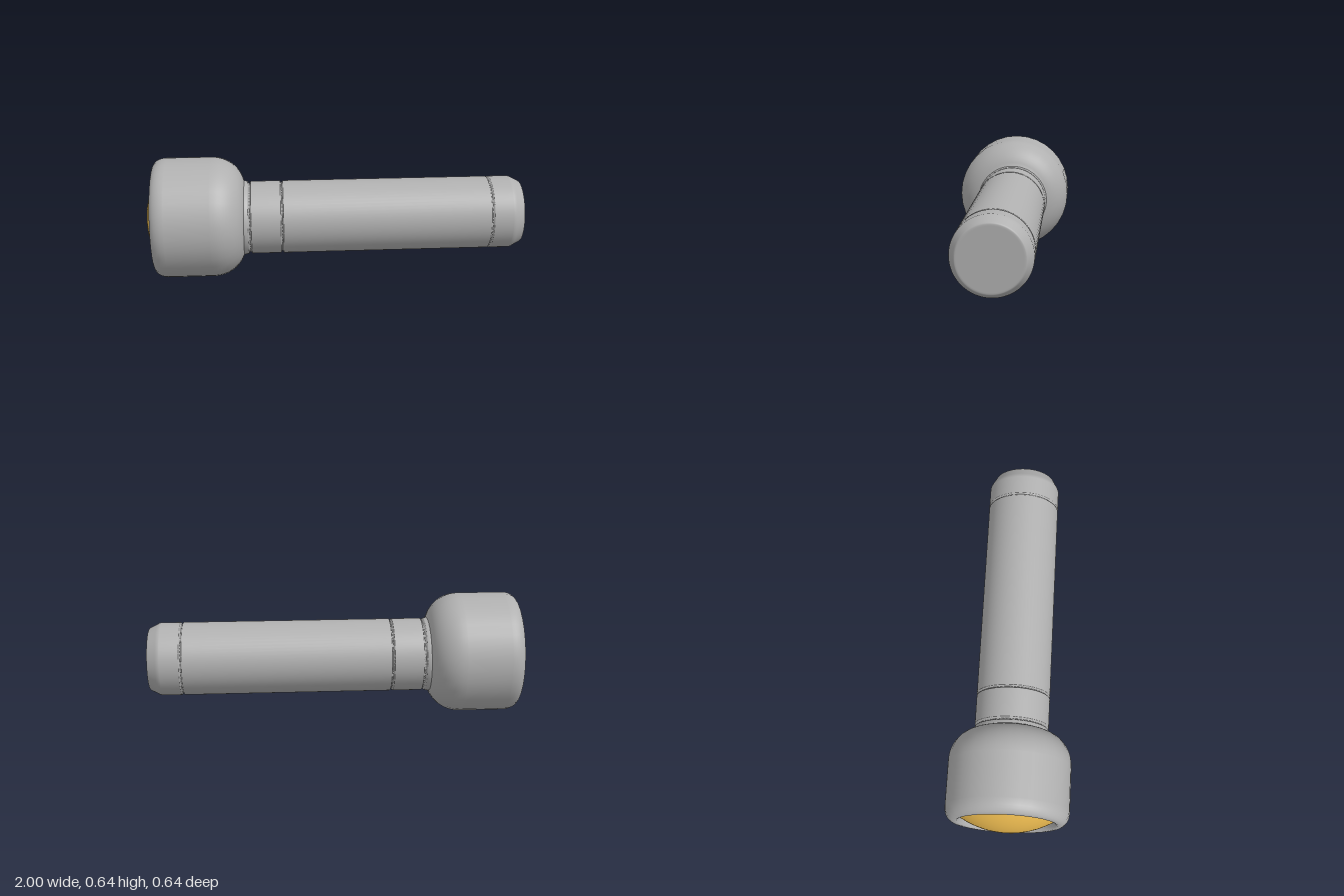
import * as THREE from 'three';

const HEAD_Y = 0.321, BODY_Y = 0.311;

// Turned part along x: profile is a list of [x, radius], running towards +x
function turned(name, profile, y, segments, material) {
  const points = profile.map(([x, r]) => new THREE.Vector2(r, x));
  const geometry = new THREE.LatheGeometry(points, segments);
  geometry.rotateZ(-Math.PI / 2);
  const mesh = new THREE.Mesh(geometry, material);
  mesh.name = name;
  mesh.position.y = y;
  return mesh;
}

// Elliptical quarter arc sampled as profile points
function arc(cx, cr, ax, ar, from, to, steps) {
  return Array.from({ length: steps + 1 }, (_, i) => {
    const a = THREE.MathUtils.degToRad(from + (to - from) * i / steps);
    return [cx + ax * Math.cos(a), cr + ar * Math.sin(a)];
  });
}

// Narrow groove; the outer points keep the barrel's shading straight
const groove = (x, r, w, depth) => [
  [x - w - 0.003, r], [x - w, r - 0.001], [x - w * 0.4, r - depth],
  [x + w * 0.4, r - depth], [x + w, r - 0.001], [x + w + 0.003, r],
];

export function createModel() {
  const metal = new THREE.MeshStandardMaterial({ color: 0xb0b0b0 });
  metal.name = 'grey metal';
  const amber = new THREE.MeshStandardMaterial({ color: 0xe6b64e });
  amber.name = 'amber lens';

  const model = new THREE.Group();
  model.name = 'flashlight';

  // Bulbous head with a recessed rim
  model.add(turned('head', [
    [-0.925, 0.238], [-0.945, 0.244], [-0.956, 0.252], [-0.96, 0.26],
    ...arc(-0.89, 0.27, 0.07, 0.049, 180, 90, 7),
    [-0.885, 0.319], [-0.655, 0.319],
    ...arc(-0.65, 0.15, 0.172, 0.169, 90, 14, 12),
    [-0.47, 0.17],
  ], HEAD_Y, 32, metal));

  // Domed lens, a cap of a sphere
  const R = 0.47, rim = Math.asin(0.243 / R);
  const dome = Array.from({ length: 13 }, (_, i) => {
    const a = rim * (1 - i / 12);
    return [-1 + R * (1 - Math.cos(a)), R * Math.sin(a)];
  }).reverse();
  model.add(turned('lens', dome, HEAD_Y, 48, amber));

  // Neck collar, barrel and tail cap, parted by grooves
  const r = 0.194;
  model.add(turned('barrel', [
    [-0.56, 0.2], [-0.485, 0.199], [-0.472, 0.196], [-0.466, r],
    ...groove(-0.455, r, 0.007, 0.011),
    ...groove(-0.285, r, 0.006, 0.01),
    ...groove(0.825, r, 0.006, 0.007),
    [0.932, r], [0.938, r], [0.948, 0.191], [0.955, 0.187],
    [0.992, 0.168], [0.998, 0.164], [1, 0.159], [1, 0.152], [1, 0],
  ], BODY_Y, 64, metal));

  return model;
}
